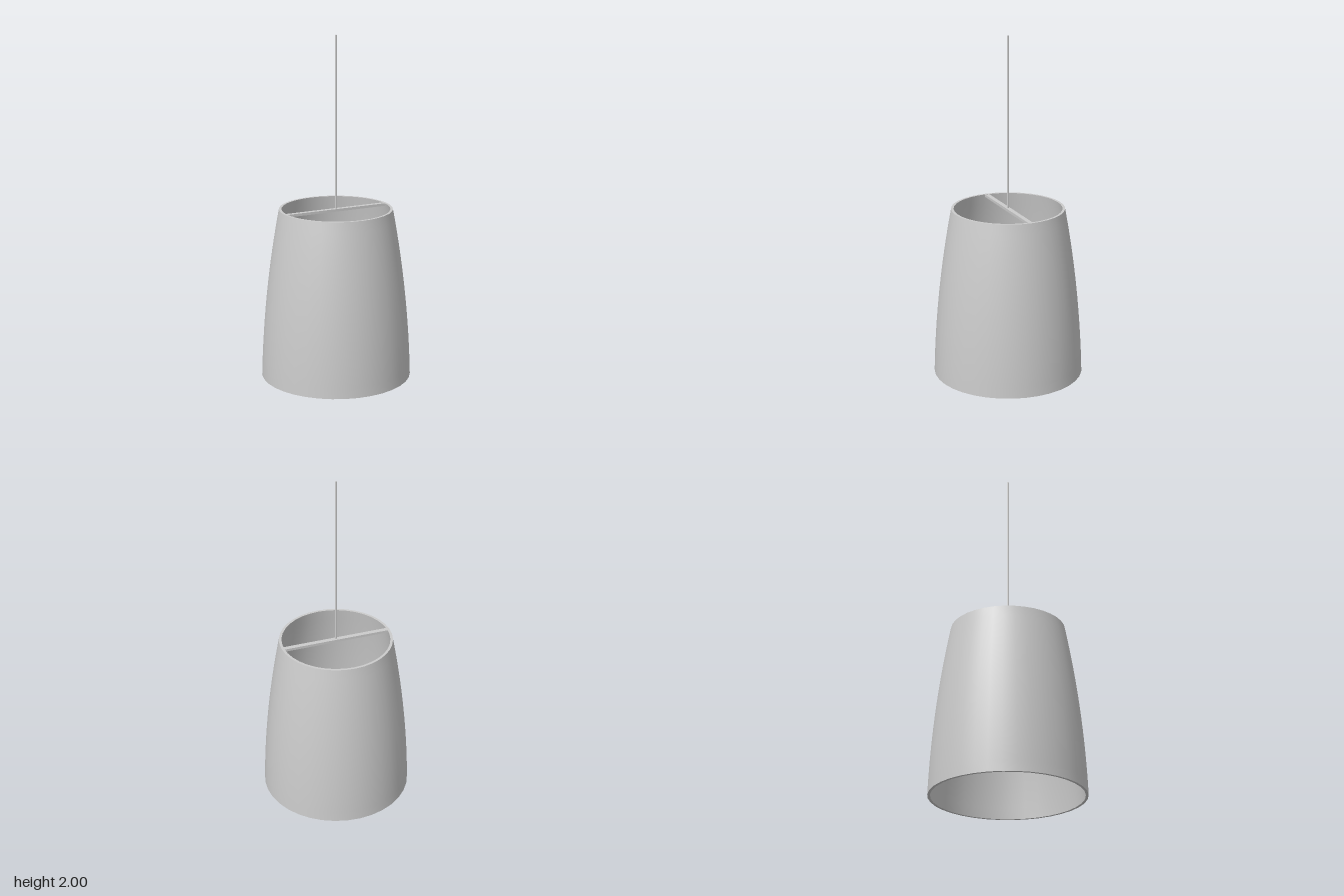
import * as THREE from 'three';
import { toCreasedNormals } from 'three/addons/utils/BufferGeometryUtils.js';

const SEGMENTS = 36, STEPS = 16, WALL = 0.015;

// Outer radius of the shade at height y
const shadeRadius = (y) => 0.44 - 0.03 * y - 0.08 * y * y;

export function createModel() {
  const group = new THREE.Group();
  const material = new THREE.MeshStandardMaterial({ color: 0xcccccc });

  const add = (name, geometry, y) => {
    const mesh = new THREE.Mesh(geometry, material);
    mesh.name = name;
    mesh.position.y = y;
    group.add(mesh);
  };

  // Shade: closed wall profile, up the outside and down the inside
  const outer = [], inner = [];
  for (let i = 0; i <= STEPS; i++) {
    const y = i / STEPS;
    outer.push(new THREE.Vector2(shadeRadius(y), y));
    inner.unshift(new THREE.Vector2(shadeRadius(y) - WALL, y));
  }
  const profile = [...outer, ...inner, outer[0].clone()];
  add('shade', toCreasedNormals(new THREE.LatheGeometry(profile, SEGMENTS), 0.6), 0);

  // Flat bar across the top opening, ends buried in the wall
  const barHeight = 0.015;
  const barLength = 2 * (shadeRadius(1) - WALL / 2);
  add('crossBar', new THREE.BoxGeometry(barLength, barHeight, 0.027), 1 - barHeight / 2 - 0.001);

  // Thin four-sided hanging cord
  const cord = new THREE.CylinderGeometry(0.006, 0.006, 1.01, 4);
  add('cord', toCreasedNormals(cord, 0.6), 1.495);

  return group;
}
